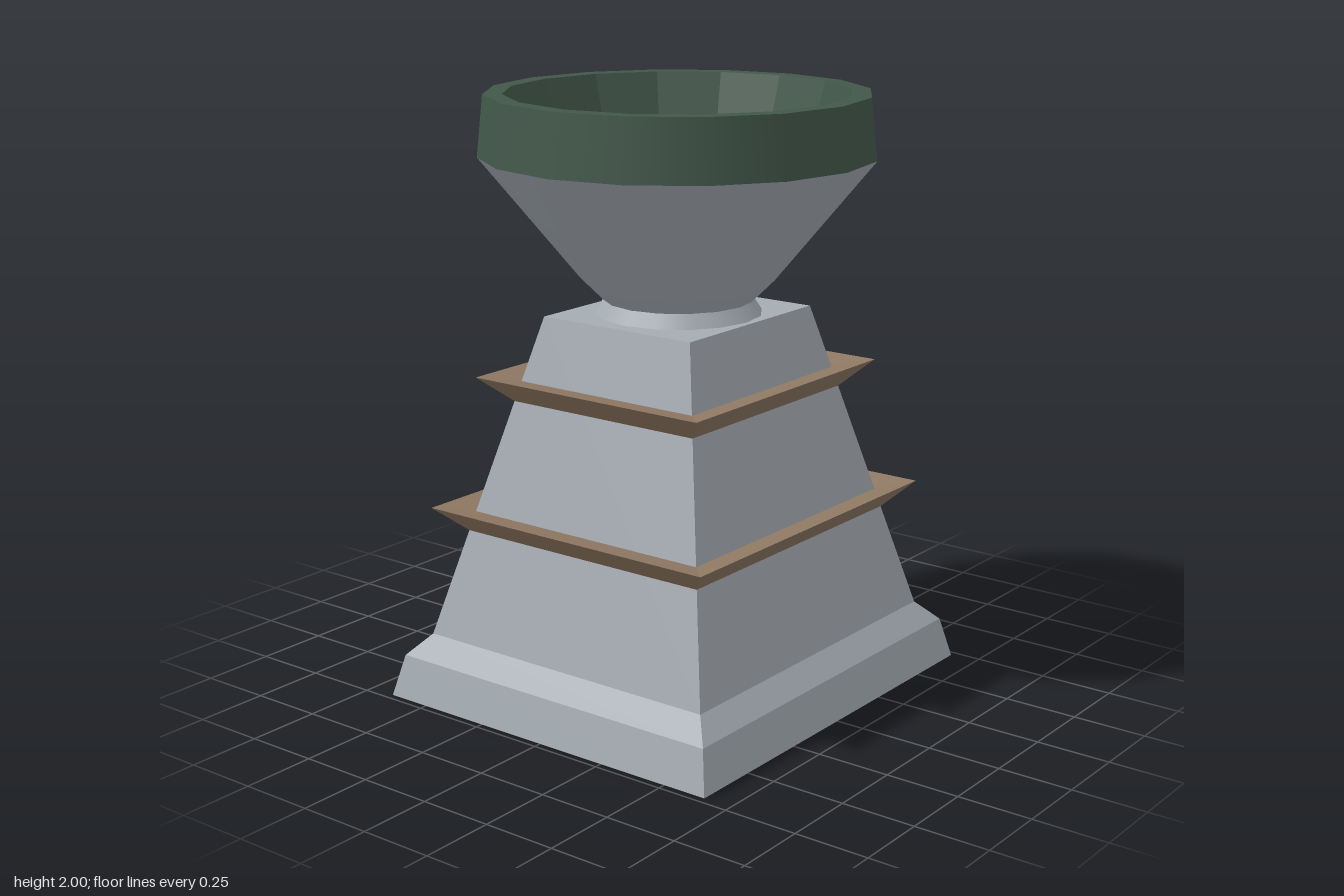
import * as THREE from 'three';

export function createModel() {
  const model = new THREE.Group();
  const mat = (name, color, flatShading) => {
    const m = new THREE.MeshStandardMaterial({ color });
    m.name = name;
    m.flatShading = flatShading;
    return m;
  };
  const stone = mat('stone grey', 0xa4abb2, true);
  const smoothStone = mat('smooth stone grey', 0xa4abb2, false);
  const bronze = mat('brown trim', 0x8e7862, true);
  const green = mat('dark green', 0x42574a, true);
  const smoothGreen = mat('smooth dark green', 0x42574a, false);

  const add = (name, geometry, material) => {
    const mesh = new THREE.Mesh(geometry, material);
    mesh.name = name;
    model.add(mesh);
  };
  const points = (profile) => profile.map(([r, y]) => new THREE.Vector2(r, y));

  // Four-sided profile sweep: radii are half widths in x, depth is a fixed share of width
  const square = (name, profile, material) => {
    const g = new THREE.LatheGeometry(points(profile), 4, Math.PI / 4);
    g.scale(Math.SQRT2, 1, Math.SQRT2 * 0.9);
    add(name, g, material);
  };
  // Sixteen-sided turned part
  const round = (name, profile, material) =>
    add(name, new THREE.LatheGeometry(points(profile), 16), material);

  // Tapered pedestal with flared foot and a shallow recess underneath
  square('pedestal', [
    [0, 0.075], [0.67, 0.075], [0.725, 0], [0.69, 0.14],
    [0.62, 0.21], [0.33, 1.28], [0, 1.28],
  ], stone);

  // Two flared ledges, their tops dipping slightly towards the pedestal
  square('lowerLedge', [[0.523, 0.565], [0.615, 0.65], [0.5, 0.629]], bronze);
  square('upperLedge', [[0.405, 1.0], [0.499, 1.086], [0.383, 1.066]], bronze);

  // Neck between pedestal and bowl
  round('neck', [[0.277, 1.28], [0.247, 1.325]], smoothStone);

  // Bowl: smooth outside, faceted inside with a flat floor
  round('bowlOutside', [[0.247, 1.325], [0.322, 1.4], [0.648, 1.8]], smoothStone);
  round('bowlInside', [[0.503, 1.8], [0.115, 1.4], [0, 1.4]], stone);

  // Rim band
  round('rimOutside', [[0.648, 1.8], [0.627, 2]], smoothGreen);
  round('rimInside', [[0.627, 2], [0.565, 2], [0.503, 1.8]], green);

  return model;
}
